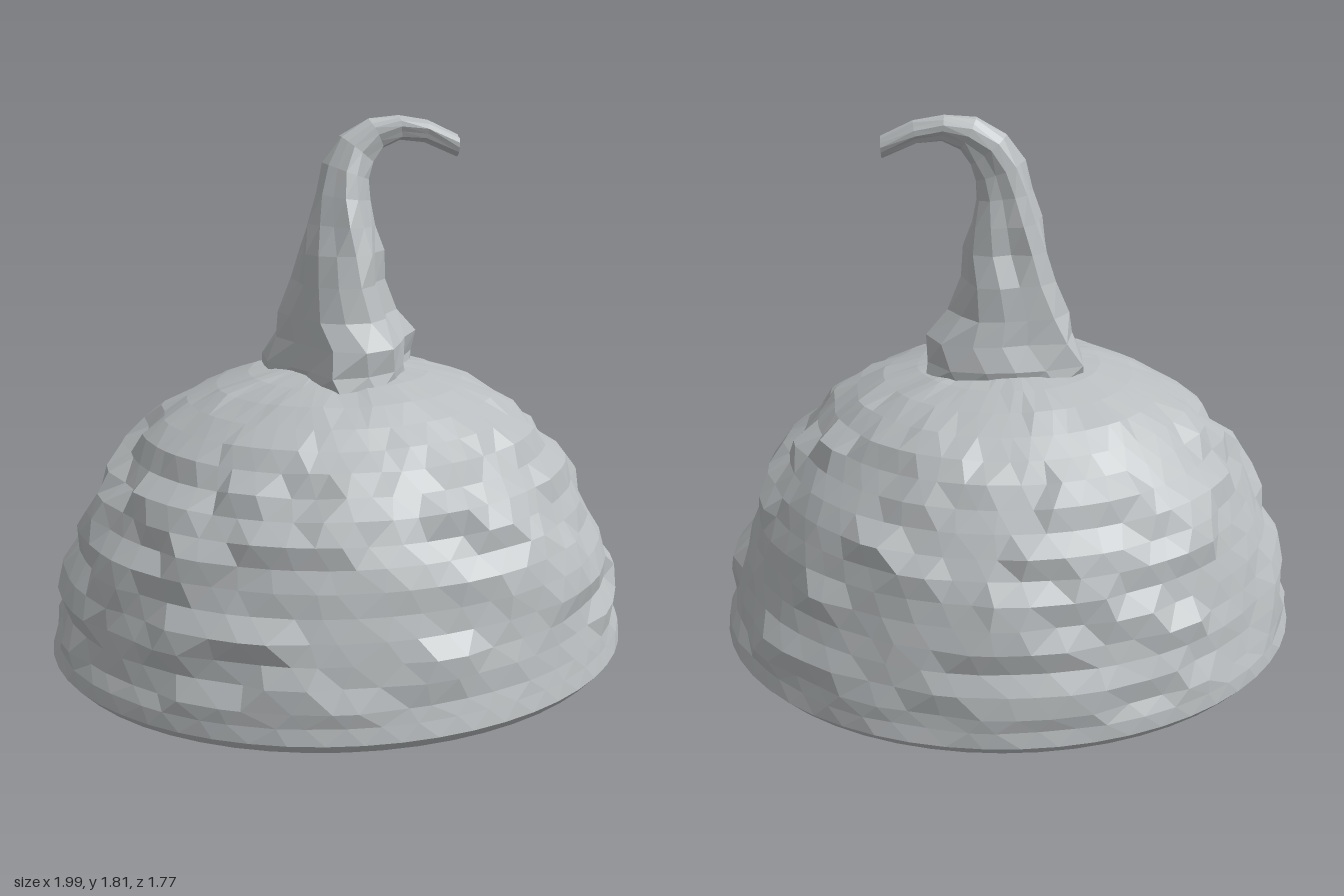
import * as THREE from 'three';

// Small seeded random generator
function makeRandom(seed) {
  return () => {
    seed = (seed * 1664525 + 1013904223) % 4294967296;
    return seed / 4294967296;
  };
}

// Skin over closed rings of points listed bottom to top, with fans at both ends
function loft(rings) {
  const n = rings[0].length, points = [], index = [];
  rings.forEach(ring => ring.forEach(p => points.push(p.x, p.y, p.z)));
  const at = (i, j) => i * n + (j % n);
  for (let i = 0; i < rings.length - 1; i++) {
    for (let j = 0; j < n; j++) {
      index.push(at(i, j), at(i + 1, j), at(i, j + 1));
      index.push(at(i, j + 1), at(i + 1, j), at(i + 1, j + 1));
    }
  }
  const last = rings.length - 1;
  [0, last].forEach(i => {
    const c = new THREE.Vector3();
    rings[i].forEach(p => c.addScaledVector(p, 1 / n));
    const k = points.length / 3;
    points.push(c.x, c.y, c.z);
    for (let j = 0; j < n; j++) {
      if (i === 0) index.push(k, at(i, j), at(i, j + 1));
      else index.push(k, at(i, j + 1), at(i, j));
    }
  });
  const geometry = new THREE.BufferGeometry();
  geometry.setAttribute('position', new THREE.Float32BufferAttribute(points, 3));
  geometry.setIndex(index);
  geometry.computeVertexNormals();
  return geometry;
}

// Cap outline: [radius, height, scale roughness]
const CAP = [
  [0.965, 0, 0], [0.998, 0.035, 0], [0.984, 0.085, 0.006], [0.972, 0.13, 0.014],
  [0.958, 0.2, 0.018], [0.946, 0.265, 0.021], [0.924, 0.33, 0.021], [0.9, 0.4, 0.02],
  [0.876, 0.47, 0.021], [0.845, 0.535, 0.021], [0.812, 0.595, 0.02], [0.767, 0.66, 0.019],
  [0.718, 0.72, 0.017], [0.66, 0.78, 0.014], [0.598, 0.835, 0.011], [0.52, 0.886, 0.008],
  [0.42, 0.93, 0.006], [0.31, 0.965, 0.005], [0.2, 0.985, 0.004], [0.08, 0.99, 0],
];

function capGeometry() {
  const random = makeRandom(41), columns = 54;
  const rings = CAP.map(([radius, height, rough], row) => {
    // Scales are two columns wide and staggered from row to row
    const scales = Array.from({ length: columns / 2 }, () => (random() < 0.36 ? 1 : -0.4) + (random() - 0.5) * 0.7);
    return Array.from({ length: columns }, (_, j) => {
      const bump = scales[Math.floor((j + row % 2) / 2) % scales.length] * rough;
      const a = (j + row * 0.5 + (rough ? (random() - 0.5) * 0.5 : 0)) / columns * Math.PI * 2;
      // The outline is an oval, very slightly flattened across one diagonal
      const r = (radius + bump) * (1 - 0.006 * Math.sin(2 * a));
      return new THREE.Vector3(Math.cos(a) * r, height + bump * height * 0.6, Math.sin(a) * r * 0.889);
    });
  });
  return loft(rings);
}

// Stem sections: [x, y, z, half width, half depth, lean in degrees, lobing]
const STEM = [
  [0.01, 0.94, 0.01, 0.25, 0.25, 0, 0.17], [0.01, 1.0, 0.01, 0.24, 0.245, 0, 0.17],
  [0.03, 1.08, 0.02, 0.225, 0.23, 0, 0.16], [0, 1.16, 0.005, 0.19, 0.19, 0, 0.12],
  [0, 1.27, 0, 0.155, 0.16, 0, 0.09], [0.01, 1.37, 0.005, 0.14, 0.135, 0, 0.06],
  [0.01, 1.46, -0.005, 0.118, 0.115, 3, 0.05], [0.015, 1.55, -0.01, 0.095, 0.093, 8, 0.04],
  [0.03, 1.63, -0.015, 0.083, 0.076, 20, 0.03], [0.065, 1.7, -0.025, 0.073, 0.06, 38, 0],
  [0.13, 1.75, -0.03, 0.056, 0.048, 62, 0], [0.21, 1.77, -0.03, 0.041, 0.042, 84, 0],
  [0.3, 1.757, -0.025, 0.036, 0.038, 98, 0], [0.408, 1.706, -0.018, 0.036, 0.032, 92, 0],
];

function stemGeometry() {
  const random = makeRandom(5), sides = 14;
  const rings = STEM.map(([x, y, z, width, depth, lean, lobing], row) => {
    const t = THREE.MathUtils.degToRad(lean);
    return Array.from({ length: sides }, (_, j) => {
      const a = (j + row * 0.25) / sides * Math.PI * 2;
      // Gnarled bark with a few lengthwise grooves
      const groove = (j % 3 === 0 ? -0.07 : 0.025) + (random() - 0.5) * 0.12;
      const r = 1 + lobing * Math.cos(3 * (a - Math.PI / 2)) + groove;
      const u = Math.cos(a) * width * r, w = Math.sin(a) * depth * r;
      return new THREE.Vector3(x + u * Math.cos(t), y - u * Math.sin(t), z + w);
    });
  });
  return loft(rings);
}

export function createModel() {
  const grey = new THREE.MeshStandardMaterial({ color: 0xb8bcbe, flatShading: true });
  grey.name = 'plain grey';
  const model = new THREE.Group();
  model.name = 'acornCap';

  // Scaly dome with a flat underside
  const cap = new THREE.Mesh(capGeometry(), grey);
  cap.name = 'scalyCap';

  // Lobed stem curling over to one side
  const stem = new THREE.Mesh(stemGeometry(), grey);
  stem.name = 'curledStem';

  model.add(cap, stem);
  return model;
}
